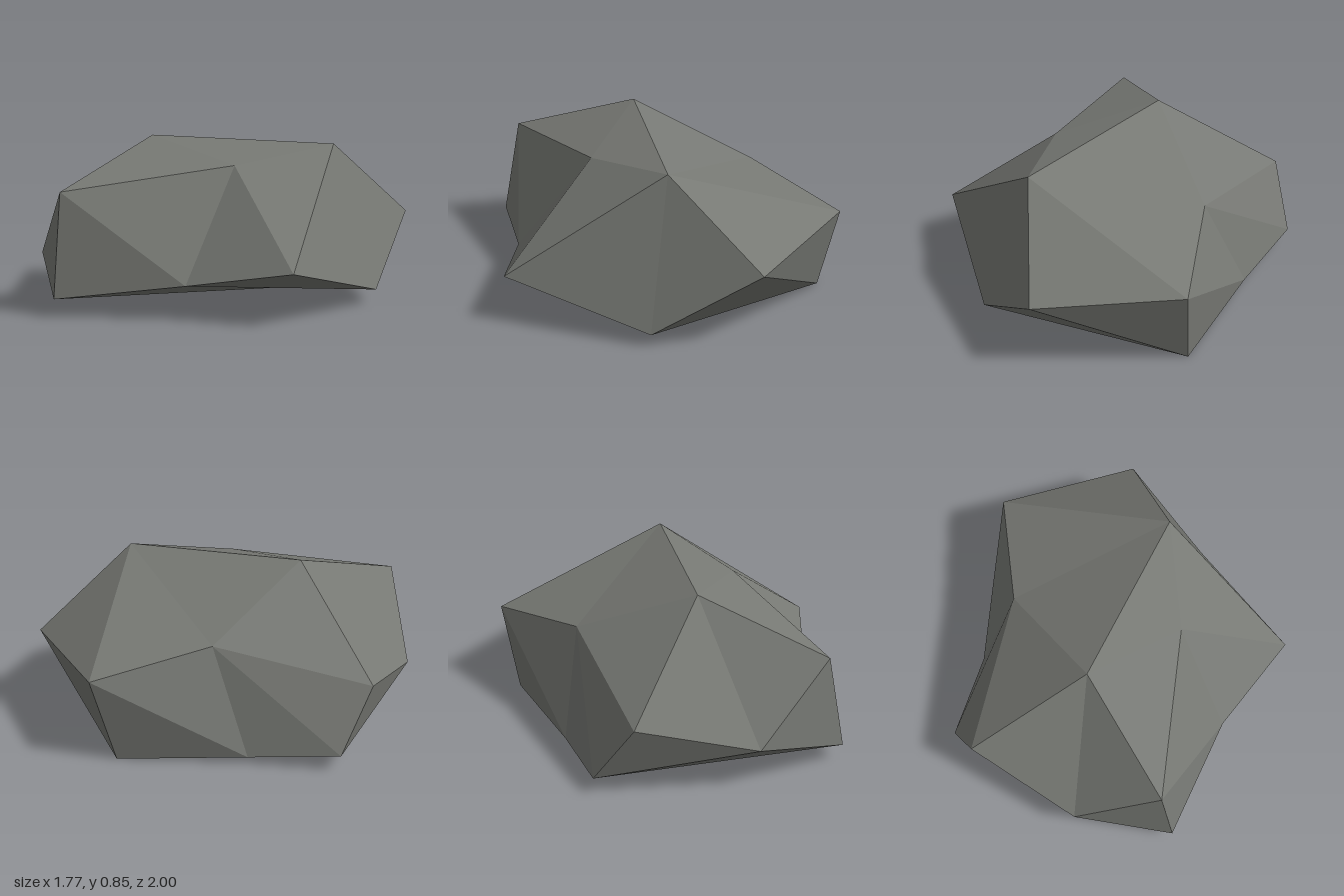
import * as THREE from 'three';

// Corners of the boulder, grouped by height
const corners = {
  // crown
  A: [-0.23, 0.85, 0.21], B: [0.615, 0.815, -0.25], H: [0.335, 0.725, 0.25],
  C: [-0.257, 0.612, 0.91], P: [-0.26, 0.58, -0.44],
  // flanks
  M: [0.033, 0.465, -1.0], L: [0.762, 0.415, -0.778], F: [-0.885, 0.41, 0.08],
  J: [0.875, 0.265, 0.525], E: [-0.625, 0.24, 0.655], I: [0.345, 0.17, 0.675],
  // foot
  D: [-0.225, 0.09, 1.0], G: [-0.885, 0.09, -0.14], K: [0.883, 0.07, -0.25],
  O: [-0.51, 0.037, -0.43], N: [-0.02, 0, -0.89], X: [0.52, 0.09, 0.07],
};

// Facets, each three corners counter-clockwise from outside
const facets = [
  'IJH IHC ICD', // front
  'EDC ECA EAF EFG EGD', // front, -x side
  'BHJ BJK BKL', // +x side
  'ACH AHB ABP', // top
  'PBM BLM PMO', // upper back
  'FAP FPG POG', // back, -x side
  'LKN LNM OMN', // lower back
  'KJI KIX KXN NXO OXG GXD DXI', // underside
].join(' ').replace('EGD', 'DEG').split(' ');

export function createModel() {
  const stone = new THREE.MeshStandardMaterial({ color: 0x777974 });
  stone.name = 'stone grey';

  // Unshared corners keep every facet flat
  const positions = facets.flatMap((f) => [...f].flatMap((c) => corners[c]));
  const geometry = new THREE.BufferGeometry();
  geometry.setAttribute('position', new THREE.Float32BufferAttribute(positions, 3));
  geometry.computeVertexNormals();

  const boulder = new THREE.Mesh(geometry, stone);
  boulder.name = 'boulder';

  const group = new THREE.Group();
  group.name = 'rock';
  group.add(boulder);
  return group;
}
